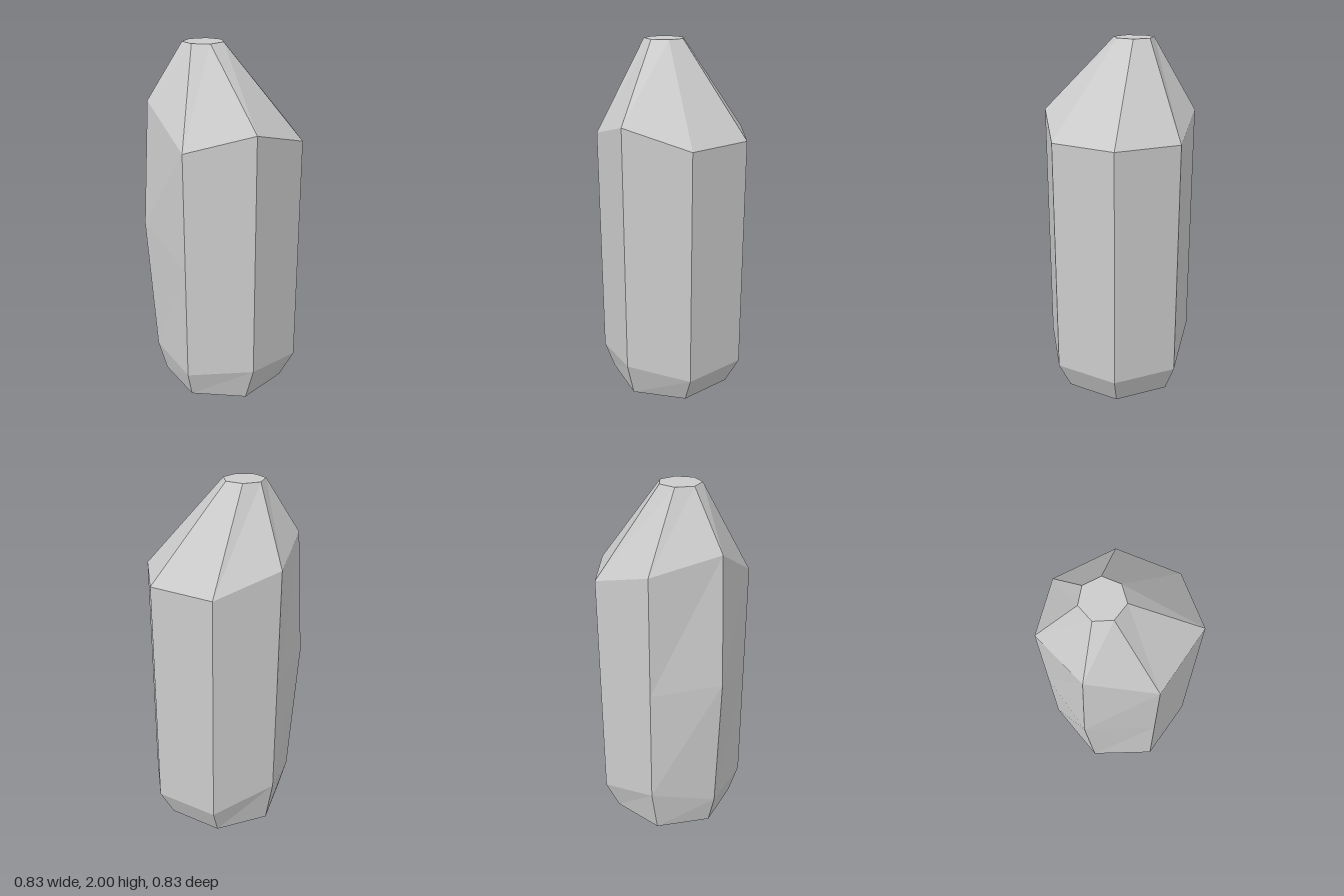
import * as THREE from 'three';

// Seven corners, counter-clockwise from the front: [x, z, lower shoulder y, waist y, upper shoulder y]
const corners = [
  [-0.06, 0.413, 0.165, 0.84, 1.5],
  [0.295, 0.288, 0.215, 0.9, 1.605],
  [0.412, -0.06, 0.165, 0.9, 1.5],
  [0.215, -0.375, 0.165, 0.9, 1.5],
  [-0.155, -0.415, 0.165, 0.9, 1.5],
  [-0.415, -0.153, 0.275, 0.94, 1.61],
  [-0.372, 0.215, 0.185, 0.99, 1.7],
];
// Small off-centre facet at the tip: [x, z]
const tip = [
  [-0.14, 0.14], [-0.047, 0.108], [-0.016, 0.016], [-0.067, -0.066],
  [-0.163, -0.077], [-0.232, -0.008], [-0.222, 0.09],
];

// Flat-shaded surface from loops of points
function loft(name, loops, material) {
  const pos = [];
  const n = loops[0].length;
  const tri = (...pts) => pts.forEach((p) => pos.push(...p));
  for (let k = 0; k < loops.length - 1; k++) {
    const lo = loops[k], hi = loops[k + 1];
    for (let i = 0; i < n; i++) {
      const j = (i + 1) % n;
      tri(lo[i], lo[j], hi[j]);
      tri(lo[i], hi[j], hi[i]);
    }
  }
  // close both ends
  const bottom = loops[0], top = loops[loops.length - 1];
  for (let i = 1; i < n - 1; i++) {
    tri(bottom[0], bottom[i + 1], bottom[i]);
    tri(top[0], top[i], top[i + 1]);
  }
  const geo = new THREE.BufferGeometry();
  geo.setAttribute('position', new THREE.Float32BufferAttribute(pos, 3));
  geo.computeVertexNormals();
  const mesh = new THREE.Mesh(geo, material);
  mesh.name = name;
  return mesh;
}

export function createModel() {
  const group = new THREE.Group();
  group.name = 'crystal';
  const material = new THREE.MeshStandardMaterial({ color: 0xcccccc, flatShading: true });

  // Base facet: the outline shrunk and slightly shifted
  const base = corners.map(([x, z]) => [x * 0.845 - 0.016, 0, z * 0.845 + 0.009]);
  const lower = corners.map(([x, z, y]) => [x, y, z]);
  // Waist: one corner bulges outward
  const waist = corners.map(([x, z, , y], i) => (i === 6 ? [-0.415, y, 0.23] : [x, y, z]));
  const upper = corners.map(([x, z, , , y]) => [x, y, z]);
  const point = tip.map(([x, z]) => [x, 2, z]);

  group.add(loft('crystalShard', [base, lower, waist, upper, point], material));
  return group;
}
